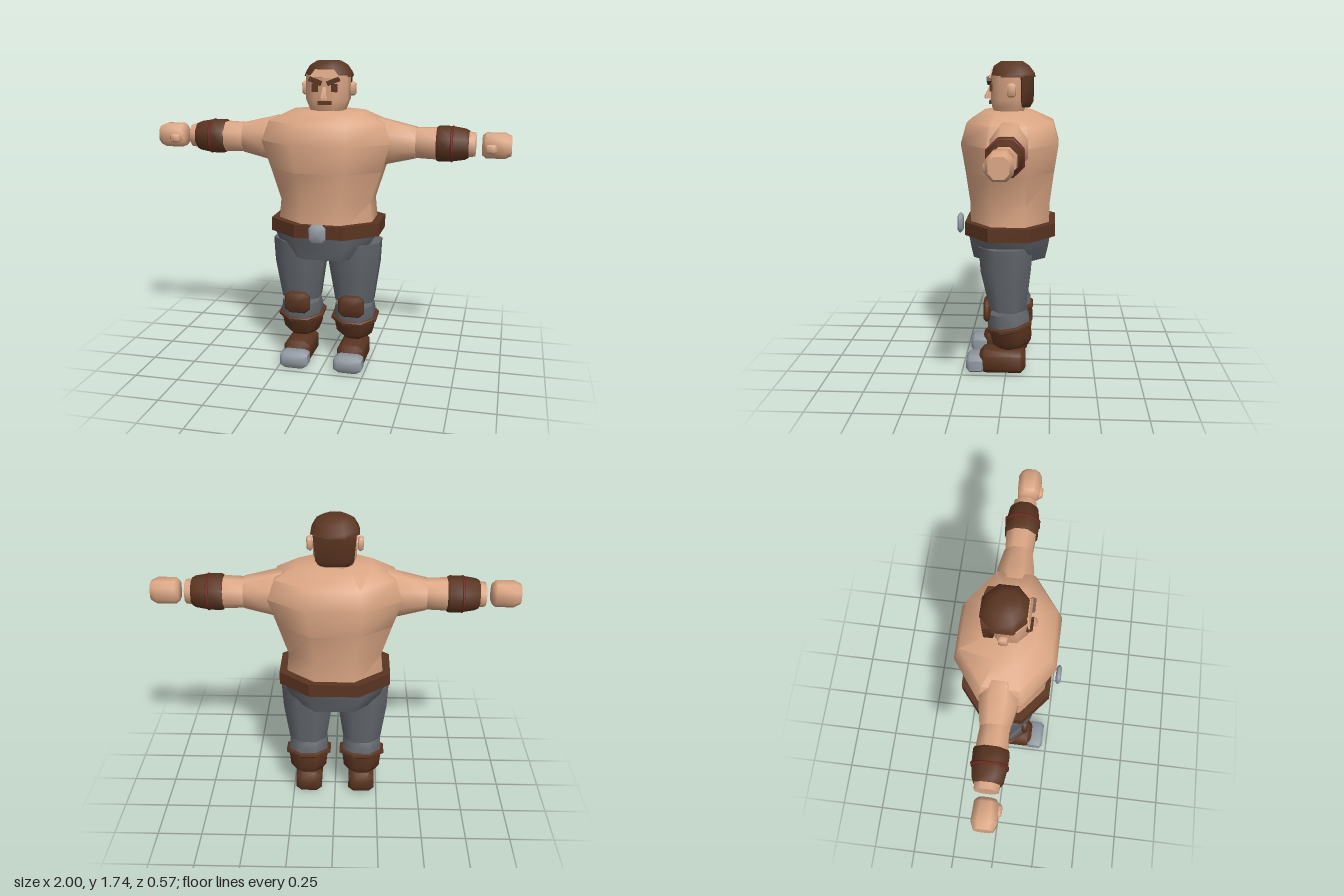
import * as THREE from 'three';
import { toCreasedNormals } from 'three/addons/utils/BufferGeometryUtils.js';

const mat = (name, color) => {
  const m = new THREE.MeshStandardMaterial({ color });
  m.name = name;
  return m;
};

// Skin of eight-sided rings [y, halfX, halfZ, centreZ], capped at both ends.
// k is the share of each side that stays flat between the chamfers.
function loft(rings, k = 0.414, crease = 0.95) {
  const corners = [[1, -k], [1, k], [k, 1], [-k, 1], [-1, k], [-1, -k], [-k, -1], [k, -1]];
  const pos = [], idx = [];
  const n = rings.length;
  for (const [y, hx, hz, cz = 0] of rings)
    for (const [x, z] of corners) pos.push(x * hx, y, cz + z * hz);
  for (const [y, , , cz = 0] of [rings[0], rings[n - 1]]) pos.push(0, y, cz);
  for (let i = 0; i < 8; i++) {
    const j = (i + 1) % 8;
    for (let r = 0; r < n - 1; r++) {
      const a = r * 8 + i, b = r * 8 + j;
      idx.push(a, a + 8, b, b, a + 8, b + 8);
    }
    idx.push(n * 8, i, j, n * 8 + 1, (n - 1) * 8 + j, (n - 1) * 8 + i);
  }
  const g = new THREE.BufferGeometry();
  g.setAttribute('position', new THREE.Float32BufferAttribute(pos, 3));
  g.setIndex(idx);
  return toCreasedNormals(g, crease);
}

// Chamfered block running along y
const block = (len, hx, hz, bevel, k = 0.6) => loft([
  [-len / 2, hx - bevel, hz - bevel], [-len / 2 + bevel, hx, hz],
  [len / 2 - bevel, hx, hz], [len / 2, hx - bevel, hz - bevel]], k);

// Flat plate from outline points
function plate(points, depth) {
  const s = new THREE.Shape(points.map(([x, y]) => new THREE.Vector2(x, y)));
  return new THREE.ExtrudeGeometry(s, { depth, bevelEnabled: false });
}

export function createModel() {
  const skin = mat('skin', 0xdba684);
  const hair = mat('hair', 0x5c3622);
  const leather = mat('leather', 0x5a3420);
  const cloth = mat('trousers', 0x62666c);
  const metal = mat('metal', 0x929aa2);
  const cord = mat('cord', 0x6e2a22);

  const model = new THREE.Group();
  model.name = 'figure';
  const add = (name, geo, material, x = 0, y = 0, z = 0, parent = model) => {
    const m = new THREE.Mesh(geo, material);
    m.name = name;
    m.position.set(x, y, z);
    parent.add(m);
    return m;
  };

  // Torso
  add('chest', loft([
    [1.145, 0.31, 0.242, -0.018], [1.30, 0.36, 0.265, -0.018],
    [1.41, 0.32, 0.235, -0.018], [1.47, 0.2, 0.13, 0]]), skin);
  add('belly', loft([
    [0.82, 0.27, 0.217, -0.018], [0.97, 0.255, 0.22, -0.018], [1.145, 0.31, 0.242, -0.018]]), skin);
  add('belt', loft([[0.788, 0.308, 0.25, -0.02], [0.862, 0.308, 0.25, -0.02]], 0.45, 0.5), leather);
  add('buckle', block(0.03, 0.047, 0.052, 0.011), metal, 0, 0.828, 0.27).rotation.x = Math.PI / 2;
  add('pelvis', loft([
    [0.655, 0.2, 0.2, -0.015], [0.73, 0.255, 0.214, -0.017], [0.8, 0.285, 0.224, -0.018]], 0.55), cloth);

  // Head
  add('head', loft([
    [1.45, 0.085, 0.075, -0.01], [1.49, 0.1, 0.09, -0.008], [1.53, 0.115, 0.096, -0.008],
    [1.66, 0.115, 0.096, -0.008]], 0.5), skin);
  add('hairCap', loft([
    [1.652, 0.128, 0.122, -0.03], [1.672, 0.122, 0.117, -0.03],
    [1.712, 0.098, 0.095, -0.022], [1.735, 0.062, 0.06, -0.022]]), hair);
  add('backHair', loft([
    [1.49, 0.075, 0.025, -0.1], [1.52, 0.1, 0.036, -0.106], [1.66, 0.112, 0.038, -0.106]], 0.65), hair);
  const forehead = add('forehead', plate(
    [[-0.086, 0], [0.086, 0], [0.052, 0.045], [-0.052, 0.045]], 0.008), skin, 0, 1.648, 0.089);
  forehead.rotation.x = -0.24;
  add('nose', loft([[1.535, 0.019, 0.02, 0.108], [1.548, 0.018, 0.02, 0.108],
    [1.6, 0.009, 0.008, 0.092]], 0.7, 0.5), skin);
  add('mouth', new THREE.BoxGeometry(0.074, 0.02, 0.02), hair, 0, 1.515, 0.09);

  for (const s of [1, -1]) {
    const side = s > 0 ? 'left' : 'right';

    // Face details
    const ear = add(side + 'Ear', block(0.075, 0.016, 0.023, 0.01), skin, s * 0.134, 1.585, -0.027);
    ear.rotation.z = -s * 0.05;
    const brow = add(side + 'Brow', new THREE.BoxGeometry(0.07, 0.026, 0.025), hair, s * 0.05, 1.632, 0.097);
    brow.rotation.z = s * 0.38;
    add(side + 'Eye', new THREE.BoxGeometry(0.034, 0.044, 0.016), hair, s * 0.053, 1.596, 0.086);

    // Arm, built along y and laid out to the side
    const arm = new THREE.Group();
    arm.name = side + 'Arm';
    arm.position.set(0, 1.3, -0.025);
    arm.rotation.z = -s * Math.PI / 2;
    model.add(arm);
    add('upperArm', loft([[0.27, 0.13, 0.09], [0.3, 0.127, 0.1], [0.37, 0.11, 0.098],
      [0.492, 0.083, 0.076]]), skin, 0, 0, 0, arm);
    add('forearm', loft([[0.486, 0.08, 0.072], [0.6, 0.084, 0.08], [0.77, 0.066, 0.064],
      [0.81, 0.061, 0.06]]), skin, 0, 0, 0, arm);
    add('bracer', loft([[0.602, 0.088, 0.084], [0.615, 0.093, 0.09], [0.68, 0.092, 0.088],
      [0.755, 0.08, 0.078], [0.775, 0.07, 0.068]]), leather, 0, 0, 0, arm);
    const band = add('bracerCord', new THREE.TorusGeometry(0.094, 0.009, 6, 8), cord, 0, 0.685, 0, arm);
    band.rotation.set(Math.PI / 2, 0, Math.PI / 8);
    add('hand', loft([[0.845, 0.05, 0.045], [0.865, 0.066, 0.06], [0.965, 0.066, 0.064],
      [1.0, 0.05, 0.048]], 0.5), skin, 0, 0, 0.01, arm);
    const thumb = add('thumb', block(0.065, 0.024, 0.022, 0.012), skin, 0, 0.893, 0.066, arm);
    thumb.position.x = s * 0.012;

    // Leg
    const leg = new THREE.Group();
    leg.name = side + 'Leg';
    leg.position.x = s * 0.158;
    model.add(leg);
    add('thigh', loft([[0.375, 0.108, 0.1, -0.012], [0.6, 0.14, 0.138], [0.74, 0.147, 0.148]]),
      cloth, 0, 0, 0, leg);
    add('kneePad', block(0.038, 0.074, 0.063, 0.012), leather, 0, 0.367, 0.105, leg)
      .rotation.x = Math.PI / 2;

    // Shin and boot shaft lean together
    const shin = new THREE.Group();
    shin.name = 'lowerLeg';
    shin.position.set(0, 0.275, -0.02);
    shin.rotation.x = 0.19;
    leg.add(shin);
    add('shin', loft([[-0.02, 0.112, 0.112], [0.04, 0.112, 0.116], [0.09, 0.106, 0.1]]),
      cloth, 0, 0, 0, shin);
    add('bootCuff', loft([[-0.014, 0.122, 0.118], [-0.008, 0.131, 0.125], [0.008, 0.131, 0.125],
      [0.014, 0.122, 0.118]], 0.414, 0.5), leather, 0, 0, 0, shin);
    add('bootShaft', loft([[-0.122, 0.078, 0.08, -0.004], [-0.088, 0.105, 0.108],
      [-0.01, 0.114, 0.115]]), leather, 0, 0, 0, shin);

    // Foot
    add('foot', block(0.26, 0.077, 0.067, 0.026), leather, 0, 0.067, 0.02, leg)
      .rotation.x = Math.PI / 2;
    add('toeCap', block(0.105, 0.081, 0.049, 0.018), metal, 0, 0.05, 0.172, leg)
      .rotation.x = Math.PI / 2;
  }
  return model;
}
